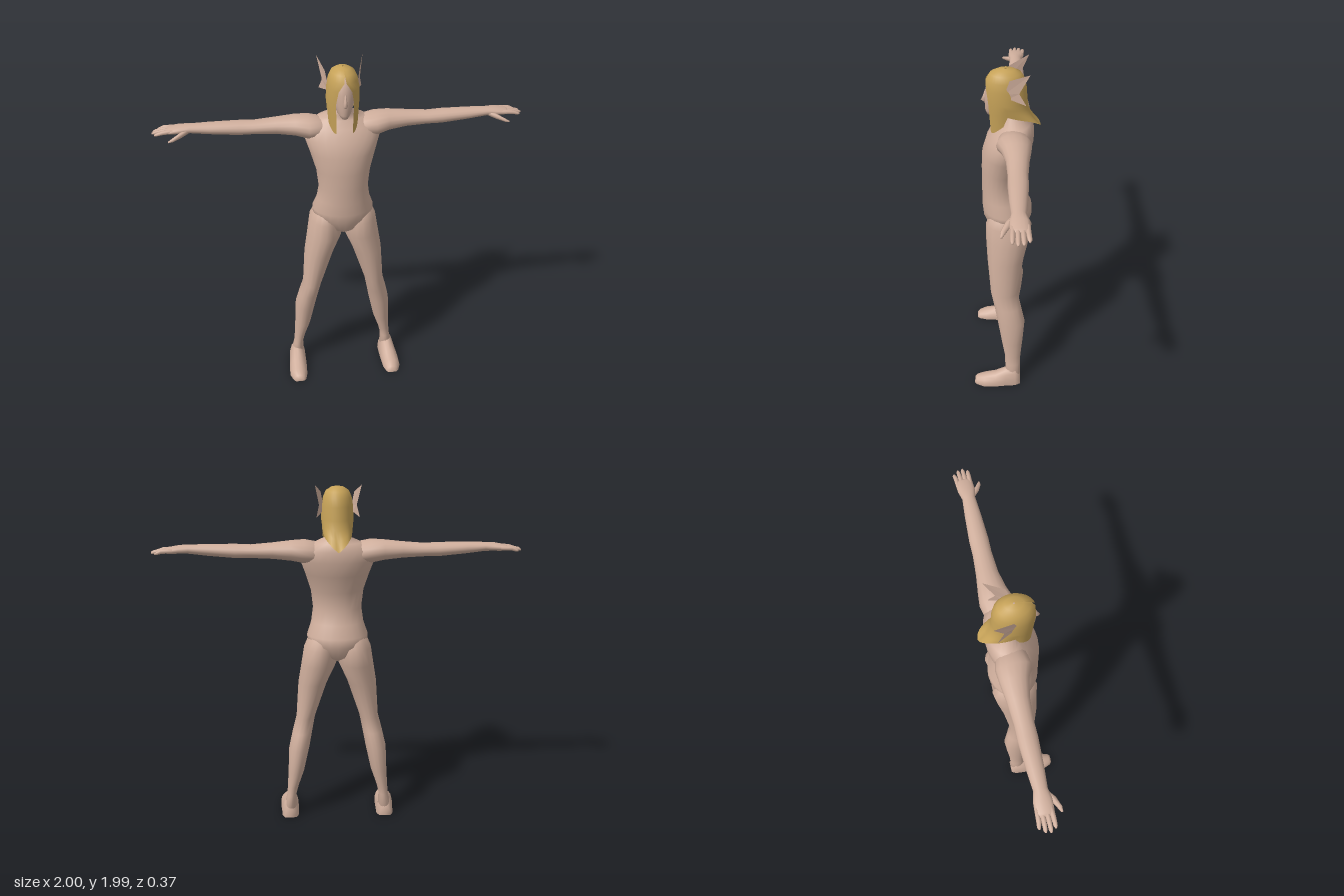
import * as THREE from 'three';

const skin = new THREE.MeshStandardMaterial({ color: 0xcfae9c });
skin.name = 'skin';
const skinThin = skin.clone();
skinThin.name = 'skin';
skinThin.side = THREE.DoubleSide;
const blond = new THREE.MeshStandardMaterial({ color: 0xc6a258, side: THREE.DoubleSide });
blond.name = 'blond hair';

function build(pos, index) {
  const g = new THREE.BufferGeometry();
  g.setAttribute('position', new THREE.Float32BufferAttribute(pos, 3));
  g.setIndex(index);
  g.computeVertexNormals();
  return g;
}

// Closed loft through ellipses. Ring: [t, a, b, ra, rb], t ascending along the axis.
// axis y: a = x, b = z; axis x: a = z, b = y; axis z: a = y, b = x
function loft(axis, rings, n = 16, floor = -1) {
  const pos = [], index = [];
  const put = (t, a, b) => {
    const p = axis === 'y' ? [a, t, b] : axis === 'x' ? [t, b, a] : [b, a, t];
    pos.push(p[0], Math.max(floor, p[1]), p[2]);
  };
  for (const [t, a, b, ra, rb] of rings) {
    for (let j = 0; j < n; j++) {
      const w = (j / n) * Math.PI * 2;
      put(t, a + ra * Math.sin(w), b + rb * Math.cos(w));
    }
  }
  const last = rings.length - 1, c = rings.length * n;
  put(...rings[0]);
  put(...rings[last]);
  for (let j = 0; j < n; j++) {
    const k = (j + 1) % n;
    for (let i = 0; i < last; i++) {
      const p = i * n + j, q = i * n + k;
      index.push(p, q, q + n, p, q + n, p + n);
    }
    index.push(c, k, j, c + 1, last * n + j, last * n + k);
  }
  return build(pos, index);
}

// Mirrored copy across x = 0 with its winding reversed
function mirror(g) {
  const m = g.clone().scale(-1, 1, 1);
  const ix = m.index.array;
  for (let i = 0; i < ix.length; i += 3) [ix[i], ix[i + 1]] = [ix[i + 1], ix[i]];
  m.computeVertexNormals();
  return m;
}

// Hair: sheet wrapped round the head, open at the face, with a shaped lower edge
function hairGeometry() {
  const n = 32, pos = [], index = [];
  // [y, front z, back z, half width, opening angle]
  const rows = [
    [1.972, 0.005, -0.005, 0.004, 0], [1.966, 0.045, -0.045, 0.035, 0],
    [1.948, 0.08, -0.08, 0.062, 0], [1.915, 0.102, -0.1, 0.077, 0.08],
    [1.87, 0.108, -0.108, 0.085, 0.42], [1.8, 0.105, -0.113, 0.088, 0.56],
  ];
  const edge = [[0, 1.63], [0.7, 1.63], [1.2, 1.64], [1.5, 1.735], [2.3, 1.7], [3.15, 1.645]];
  const bottom = (a) => {
    const i = Math.max(1, edge.findIndex((e) => e[0] >= a));
    const [a0, y0] = edge[i - 1], [a1, y1] = edge[i];
    return y0 + ((y1 - y0) * (a - a0)) / (a1 - a0);
  };
  const all = [...rows.map((r) => [r, 0]), ...[0.33, 0.66, 1].map((f) => [rows[5], f])];
  for (const [[y, zf, zb, rx, open], f] of all) {
    for (let j = 0; j <= n; j++) {
      const a = open + (j / n) * (2 * Math.PI - 2 * open);
      const back = Math.max(0, -Math.cos(a));
      const drop = bottom(Math.min(a, 2 * Math.PI - a)) - y;
      pos.push((rx - 0.008 * f) * Math.sin(a), y + f * drop,
        (zf + zb) / 2 + ((zf - zb) / 2) * Math.cos(a) - 0.072 * f * f * back - 0.012 * f * (1 - back));
    }
  }
  for (let i = 0; i < all.length - 1; i++) {
    for (let j = 0; j < n; j++) {
      const p = i * (n + 1) + j, q = p + n + 1;
      index.push(p, q, q + 1, p, q + 1, p + 1);
    }
  }
  return build(pos, index);
}

export function createModel() {
  const model = new THREE.Group();
  model.name = 'figure';
  const add = (name, g, material = skin) => {
    const mesh = new THREE.Mesh(g, material);
    mesh.name = name;
    model.add(mesh);
  };
  const addPair = (name, g, material = skin) => {
    add('left' + name, g, material);
    add('right' + name, mirror(g), material);
  };

  // Torso and neck
  add('torso', loft('y', [
    [0.99, 0, 0, 0.012, 0.04], [1.03, 0, -0.01, 0.09, 0.105], [1.1, 0, -0.012, 0.17, 0.137],
    [1.15, 0, -0.008, 0.172, 0.138], [1.22, 0, 0.01, 0.148, 0.12], [1.3, 0, 0.022, 0.137, 0.108],
    [1.4, 0, 0.02, 0.148, 0.11], [1.5, 0, -0.003, 0.178, 0.128], [1.58, 0, -0.025, 0.205, 0.125],
    [1.64, 0, -0.045, 0.195, 0.105], [1.68, 0, -0.053, 0.13, 0.08], [1.71, 0, -0.04, 0.058, 0.06],
    [1.8, 0, -0.02, 0.046, 0.055],
  ], 24));

  // Head and nose
  add('head', loft('y', [
    [1.718, 0, 0.07, 0.018, 0.026], [1.74, 0, 0.05, 0.035, 0.055], [1.79, 0, 0.02, 0.055, 0.088],
    [1.85, 0, 0.005, 0.066, 0.1], [1.9, 0, 0, 0.064, 0.094], [1.94, 0, 0, 0.045, 0.065],
    [1.955, 0, 0, 0.02, 0.03],
  ], 20));
  add('nose', loft('y', [
    [1.782, 0, 0.1, 0.006, 0.006], [1.798, 0, 0.105, 0.012, 0.023],
    [1.82, 0, 0.102, 0.009, 0.015], [1.855, 0, 0.098, 0.005, 0.008],
  ], 8));

  // Legs
  addPair('Leg', loft('y', [
    [0.03, 0.288, -0.045, 0.043, 0.045], [0.14, 0.278, -0.044, 0.028, 0.045],
    [0.2, 0.268, -0.044, 0.033, 0.047], [0.3, 0.248, -0.04, 0.047, 0.062],
    [0.45, 0.228, -0.034, 0.06, 0.08], [0.55, 0.207, -0.013, 0.058, 0.078],
    [0.64, 0.186, 0.007, 0.055, 0.078], [0.86, 0.142, 0, 0.084, 0.103],
    [0.98, 0.106, -0.012, 0.1, 0.122], [1.08, 0.1, -0.018, 0.09, 0.128],
    [1.16, 0.09, -0.01, 0.065, 0.09],
  ]));

  // Feet, flattened on the ground
  addPair('Foot', loft('z', [
    [-0.09, 0, 0.288, 0.06, 0.035], [-0.06, 0, 0.288, 0.12, 0.05], [0, 0, 0.29, 0.105, 0.052],
    [0.06, 0, 0.294, 0.07, 0.055], [0.13, 0, 0.296, 0.052, 0.053], [0.175, 0, 0.293, 0.036, 0.038],
    [0.188, 0, 0.292, 0.018, 0.025],
  ], 16, 0));

  // Arms with palms
  addPair('Arm', loft('x', [
    [0.08, -0.04, 1.62, 0.075, 0.055], [0.18, -0.044, 1.63, 0.092, 0.064],
    [0.25, -0.055, 1.637, 0.075, 0.055], [0.35, -0.06, 1.638, 0.058, 0.044],
    [0.47, -0.06, 1.636, 0.05, 0.036], [0.55, -0.06, 1.638, 0.051, 0.038],
    [0.7, -0.06, 1.645, 0.043, 0.031], [0.8, -0.06, 1.65, 0.035, 0.024],
    [0.85, -0.062, 1.65, 0.046, 0.022], [0.91, -0.065, 1.645, 0.046, 0.016],
    [0.925, -0.066, 1.643, 0.036, 0.01],
  ]));

  // Fingers fan out slightly; the thumb points forward and down
  const tips = [0.975, 0.995, 1, 0.985];
  tips.forEach((tip, i) => {
    const z0 = -0.098 + i * 0.022, z1 = -0.106 + i * 0.025;
    addPair('Finger' + (i + 1), loft('x', [
      [0.88, z0, 1.648, 0.012, 0.012], [0.94, (z0 + z1) / 2, 1.645, 0.012, 0.011],
      [tip - 0.012, z1, 1.637, 0.01, 0.008], [tip, z1, 1.634, 0.004, 0.004],
    ], 8));
  });
  addPair('Thumb', loft('x', [
    [0.8, -0.045, 1.645, 0.012, 0.012], [0.845, -0.015, 1.635, 0.018, 0.015],
    [0.89, 0.009, 1.62, 0.013, 0.01], [0.915, 0.017, 1.612, 0.005, 0.004],
  ], 8));

  // Pointed ears with a small lower spike
  const ear = build([
    0.075, 1.865, 0.005, 0.09, 1.945, -0.02, 0.122, 1.992, -0.122,
    0.1, 1.88, -0.068, 0.115, 1.82, -0.105, 0.078, 1.84, -0.015,
  ], [0, 2, 1, 0, 3, 2, 0, 5, 3, 5, 4, 3]).toNonIndexed();
  ear.computeVertexNormals();
  ear.setIndex([...Array(12).keys()]);
  addPair('Ear', ear, skinThin);

  add('hair', hairGeometry(), blond);
  return model;
}
